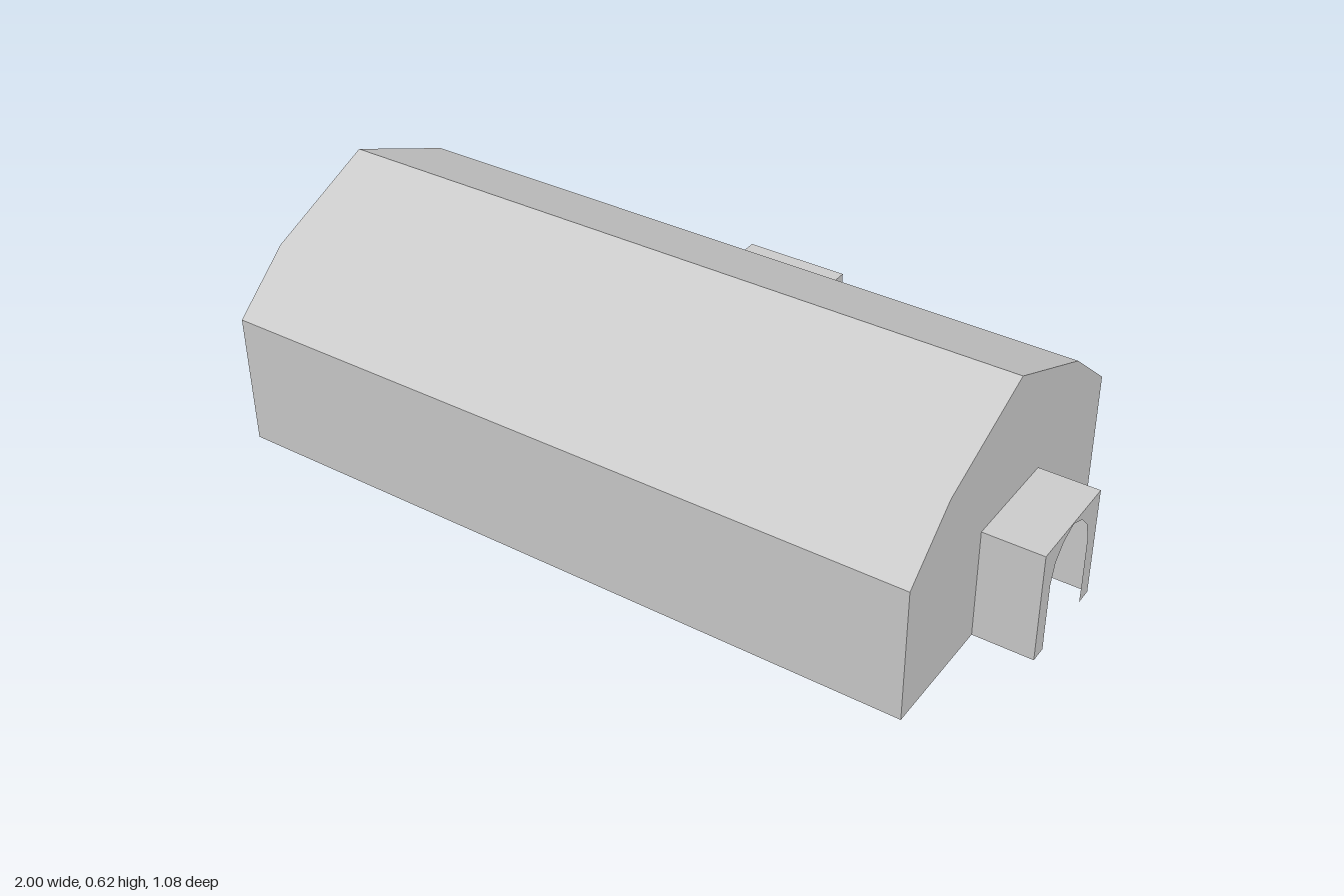
import * as THREE from 'three';

const grey = new THREE.MeshStandardMaterial({ color: 0xcccccc, side: THREE.DoubleSide, flatShading: true });
grey.name = 'lightGrey';

const PORCH_W = 0.277, PORCH_H = 0.29, PORCH_D = 0.152;

function mesh(name, geometry) {
  const m = new THREE.Mesh(geometry, grey);
  m.name = name;
  return m;
}

// Flat panel from an outline
function panel(name, points) {
  return mesh(name, new THREE.ShapeGeometry(new THREE.Shape(points.map(p => new THREE.Vector2(...p)))));
}

// Open profile swept along z, one flat strip per segment
function sweep(name, profile, z0, z1) {
  const pos = [];
  for (let i = 0; i < profile.length - 1; i++) {
    const [a, b] = [profile[i], profile[i + 1]];
    const quad = [[...a, z0], [...a, z1], [...b, z1], [...b, z0]];
    for (const k of [0, 1, 2, 0, 2, 3]) pos.push(...quad[k]);
  }
  const g = new THREE.BufferGeometry();
  g.setAttribute('position', new THREE.Float32BufferAttribute(pos, 3));
  g.computeVertexNormals();
  return mesh(name, g);
}

// Ground-level notch for a doorway, listed from right to left
function doorway(centre) {
  const w = PORCH_W / 2;
  return [[centre + w, 0], [centre + w, PORCH_H], [centre - w, PORCH_H], [centre - w, 0]];
}

// Hollow porch with an arched front, facing local +z
function porch(name) {
  const group = new THREE.Group();
  group.name = name;
  const w = PORCH_W / 2;
  const half = [[0.095, 0], [0.096, 0.06], [0.095, 0.183], [0.08, 0.233], [0.047, 0.268]];
  const arch = [...half, [0, 0.287], ...half.map(([x, y]) => [-x, y]).reverse()];
  const front = panel('porchArch', [[-w, 0], ...arch.reverse(), [w, 0], [w, PORCH_H], [-w, PORCH_H]]);
  front.position.z = PORCH_D;
  group.add(front, sweep('porchShell', [[-w, 0], [-w, PORCH_H], [w, PORCH_H], [w, 0]], 0, PORCH_D));
  return group;
}

export function createModel() {
  const model = new THREE.Group();
  model.name = 'hall';
  const x0 = -1, x1 = 0.847, backZ = -0.388, gableZ = 0.078, doorX = -0.077;

  // Main hall, built along local z and turned so that axis points to +x
  const hall = new THREE.Group();
  hall.name = 'mainHall';
  hall.rotation.y = Math.PI / 2;
  const roof = [[-0.54, 0.35], [-0.383, 0.485], [-gableZ, 0.615], [0.225, 0.485], [-backZ, 0.35]];
  const eaves = [...roof].reverse();
  hall.add(sweep('roof', roof, x0, x1));
  hall.add(sweep('frontWall', [[-0.54, 0], [-0.54, 0.35]], x0, x1));

  // Gable ends: one closed, one with a doorway
  const closedGable = panel('rightGable', [[-0.54, 0], [-backZ, 0], ...eaves]);
  closedGable.position.z = x0;
  const openGable = panel('leftGable', [[-backZ, 0], ...eaves, [-0.54, 0], ...doorway(-gableZ).reverse()]);
  openGable.position.z = x1;
  hall.add(closedGable, openGable);
  model.add(hall);

  // Back wall with a doorway
  const backWall = panel('backWall', [[-x0, 0], [-x0, 0.35], [-x1, 0.35], [-x1, 0], ...doorway(-doorX).reverse()]);
  backWall.rotation.y = Math.PI;
  backWall.position.z = backZ;
  model.add(backWall);

  // Entrance porches
  const sidePorch = porch('sidePorch');
  sidePorch.rotation.y = Math.PI / 2;
  sidePorch.position.set(x1, 0, gableZ);
  const backPorch = porch('backPorch');
  backPorch.rotation.y = Math.PI;
  backPorch.position.set(doorX, 0, backZ);
  model.add(sidePorch, backPorch);
  return model;
}
